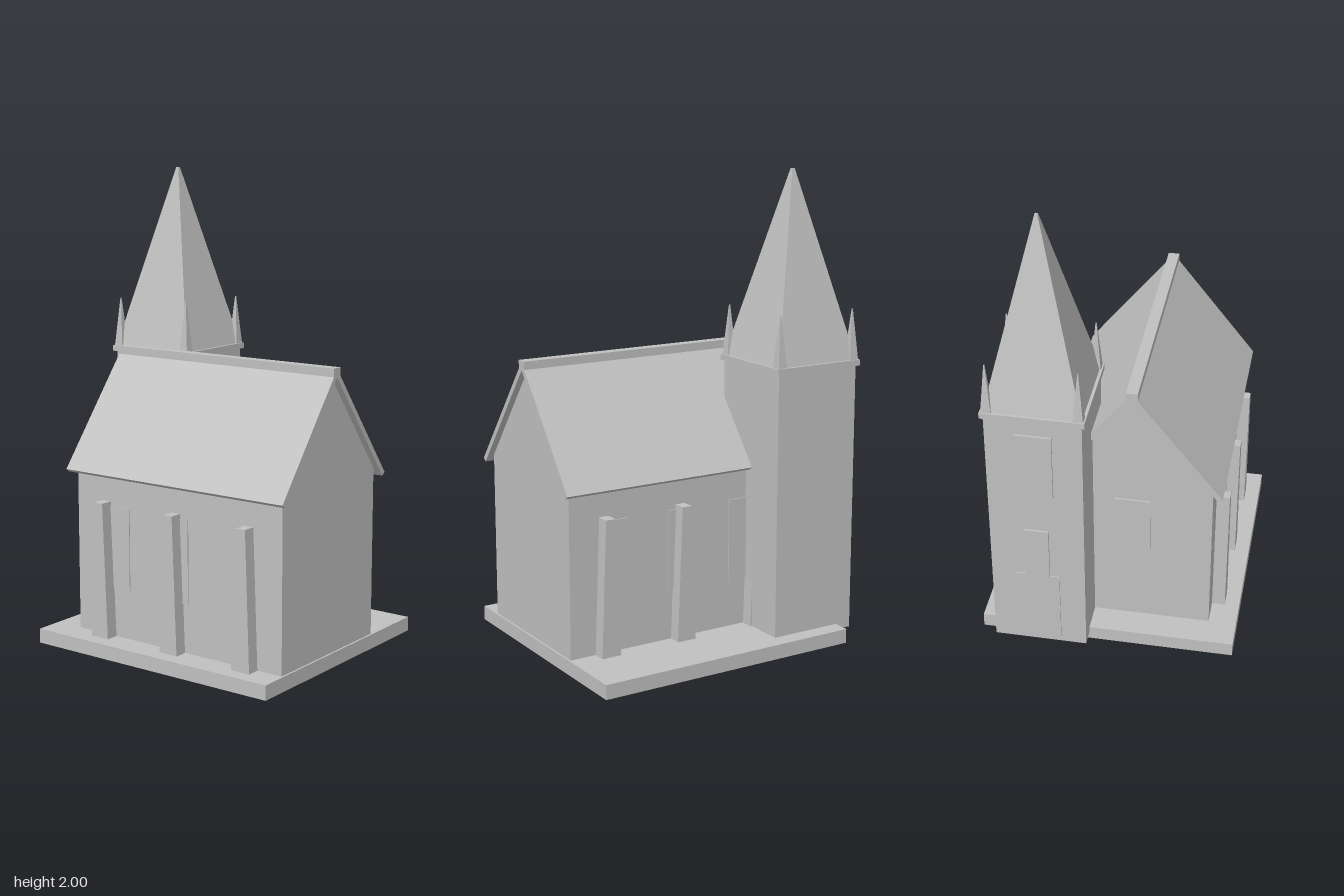
import * as THREE from 'three';

export function createModel() {
  const model = new THREE.Group();
  model.name = 'church';
  const stone = new THREE.MeshStandardMaterial({ color: 0xc0c0c0 });
  stone.name = 'pale grey stone';

  const add = (name, geometry) => {
    const mesh = new THREE.Mesh(geometry, stone);
    mesh.name = name;
    model.add(mesh);
    return mesh;
  };
  // box given by its lower and upper limits on each axis
  const box = (name, [x0, x1], [y0, y1], [z0, z1]) =>
    add(name, new THREE.BoxGeometry(x1 - x0, y1 - y0, z1 - z0)
      .translate((x0 + x1) / 2, (y0 + y1) / 2, (z0 + z1) / 2));
  // outline in x,y drawn out along z
  const prism = (name, points, z0, z1) =>
    add(name, new THREE.ExtrudeGeometry(
      new THREE.Shape(points.map(([x, y]) => new THREE.Vector2(x, y))),
      { depth: z1 - z0, bevelEnabled: false }).translate(0, 0, z0));
  // four-sided pyramid with sides square to the axes
  const pyramid = (name, half, tip, y0, y1, x, z) =>
    add(name, new THREE.CylinderGeometry(tip * Math.SQRT2, half * Math.SQRT2, y1 - y0, 4, 1).toNonIndexed()
      .rotateY(Math.PI / 4).translate(x, (y0 + y1) / 2, z)).geometry.computeVertexNormals();

  box('base', [-0.545, 0.541], [0, 0.062], [-0.557, 0.623]);

  // nave with gabled ends
  const cx = -0.093, half = 0.333;
  prism('nave', [[cx - half, 0.06], [cx + half, 0.06], [cx + half, 0.779], [cx, 1.205], [cx - half, 0.779]], -0.43, 0.615);

  // pitched roof and ridge cap
  prism('roof', [
    [cx - 0.376, 0.76], [cx - 0.358, 0.747], [cx, 1.205],
    [cx + 0.358, 0.747], [cx + 0.376, 0.76], [cx, 1.24],
  ], -0.458, 0.643);
  box('ridgeCap', [cx - 0.024, cx + 0.024], [1.205, 1.244], [-0.458, 0.643]);

  // side windows and tapered buttresses
  for (const side of [-1, 1]) {
    const wall = cx + side * half;
    for (const z of [0.406, 0.1, -0.206])
      box('sideWindow', [wall - 0.004, wall + 0.005], [0.27, 0.622], [z - 0.056, z + 0.056]);
    for (const z of [0.455, 0.093, -0.273]) {
      const geometry = new THREE.BoxGeometry(0.06, 0.58, 0.088);
      const p = geometry.attributes.position;
      for (let i = 0; i < p.count; i++) if (p.getY(i) > 0) p.setZ(i, p.getZ(i) * 0.5);
      geometry.computeVertexNormals();
      add('buttress', geometry).position.set(wall + side * 0.026, 0.352, z);
    }
  }
  box('rearWindow', [cx - 0.075, cx + 0.075], [0.33, 0.69], [-0.438, -0.429]);

  // tower, cornice, spire and corner pinnacles
  const tx = 0.27, tz = -0.434;
  box('tower', [tx - 0.197, tx + 0.197], [0.037, 1.19], [tz - 0.197, tz + 0.197]);
  box('cornice', [tx - 0.21, tx + 0.21], [1.187, 1.212], [tz - 0.21, tz + 0.21]);
  pyramid('spire', 0.198, 0.006, 1.21, 2, tx, tz);
  for (const sx of [-1, 1])
    for (const sz of [-1, 1])
      pyramid('pinnacle', 0.021, 0.002, 1.21, 1.425, tx + sx * 0.183, tz + sz * 0.183);

  // openings on the back of the tower
  const back = tz - 0.197;
  box('belfryWindow', [tx - 0.075, tx + 0.075], [0.82, 1.12], [back - 0.0095, back]);
  box('towerWindow', [tx - 0.05, tx + 0.05], [0.4, 0.64], [back - 0.0095, back]);
  box('door', [tx - 0.09, tx + 0.09], [0.06, 0.4], [back - 0.006, back + 0.002]);

  return model;
}
